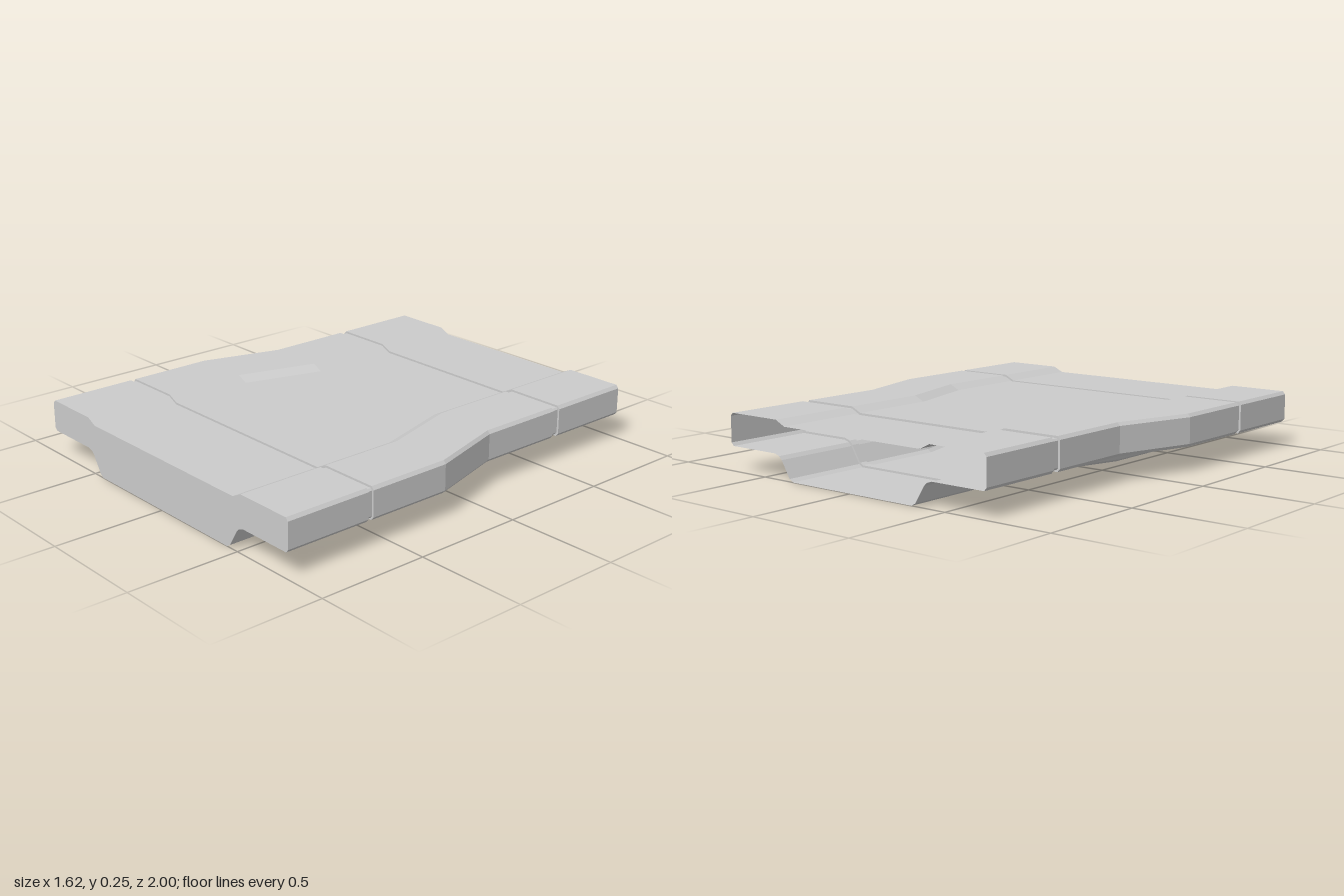
import * as THREE from 'three';

const FRONT_SHIFT = 0;
const BACK_SHIFT = -0.105;
const GROOVE = 0.009;

// Half of the cross-section (+x side), from bottom centre edge up to the top recess
const HALF = [
  [0.435, 0], [0.455, 0.012], [0.5, 0.085], [0.515, 0.1], [0.54, 0.108],
  [0.798, 0.108], [0.81, 0.122], [0.81, 0.236], [0.798, 0.25],
  [0.53, 0.25], [0.48, 0.226],
];

// Closed counter-clockwise outline, narrowed by a shift and optionally inset
function outline(shift, inset = 0) {
  const half = HALF.map(([x, y]) => new THREE.Vector2(x + shift, y));
  const mirrored = half.map((p) => new THREE.Vector2(-p.x, p.y)).reverse();
  const pts = [...half, ...mirrored];
  if (!inset) return pts;
  const n = pts.length;
  const normal = (a, b) => new THREE.Vector2(b.y - a.y, a.x - b.x).normalize();
  return pts.map((p, i) => {
    const n1 = normal(pts[(i + n - 1) % n], p);
    const n2 = normal(p, pts[(i + 1) % n]);
    const miter = n1.clone().add(n2).multiplyScalar(1 / (1 + n1.dot(n2)));
    return p.clone().addScaledVector(miter, -inset);
  });
}

// Skin joining consecutive outlines along z
function loft(sections) {
  const pos = [];
  for (let s = 0; s < sections.length - 1; s++) {
    const A = sections[s], B = sections[s + 1], n = A.pts.length;
    for (let i = 0; i < n; i++) {
      const j = (i + 1) % n;
      const a = [A.pts[i].x, A.pts[i].y, A.z], b = [A.pts[j].x, A.pts[j].y, A.z];
      const c = [B.pts[j].x, B.pts[j].y, B.z], d = [B.pts[i].x, B.pts[i].y, B.z];
      pos.push(...a, ...b, ...c, ...a, ...c, ...d);
    }
  }
  const geo = new THREE.BufferGeometry();
  geo.setAttribute('position', new THREE.Float32BufferAttribute(pos, 3));
  geo.computeVertexNormals();
  return geo;
}

export function createModel() {
  const group = new THREE.Group();
  const material = new THREE.MeshStandardMaterial({
    color: 0xcccccc, flatShading: true, side: THREE.DoubleSide,
  });
  const add = (name, geo) => {
    const mesh = new THREE.Mesh(geo, material);
    mesh.name = name;
    group.add(mesh);
    return mesh;
  };

  // Hollow duct: [z, width shift, inset]; repeated z values make the groove walls
  const stations = [
    [-1, BACK_SHIFT, 0], [-0.601, BACK_SHIFT, 0],
    [-0.601, BACK_SHIFT, GROOVE], [-0.563, BACK_SHIFT, GROOVE],
    [-0.563, BACK_SHIFT, 0], [-0.165, BACK_SHIFT, 0],
    [0.195, FRONT_SHIFT, 0], [0.58, FRONT_SHIFT, 0],
    [0.58, FRONT_SHIFT, GROOVE], [0.606, FRONT_SHIFT, GROOVE],
    [0.606, FRONT_SHIFT, 0], [1, FRONT_SHIFT, 0],
  ];
  add('ductShell', loft(stations.map(([z, shift, inset]) => ({ z, pts: outline(shift, inset) }))));

  // Closed front end; the back end stays open
  const cap = add('frontPanel', new THREE.ShapeGeometry(new THREE.Shape(outline(FRONT_SHIFT))));
  cap.position.z = 1;

  return group;
}
